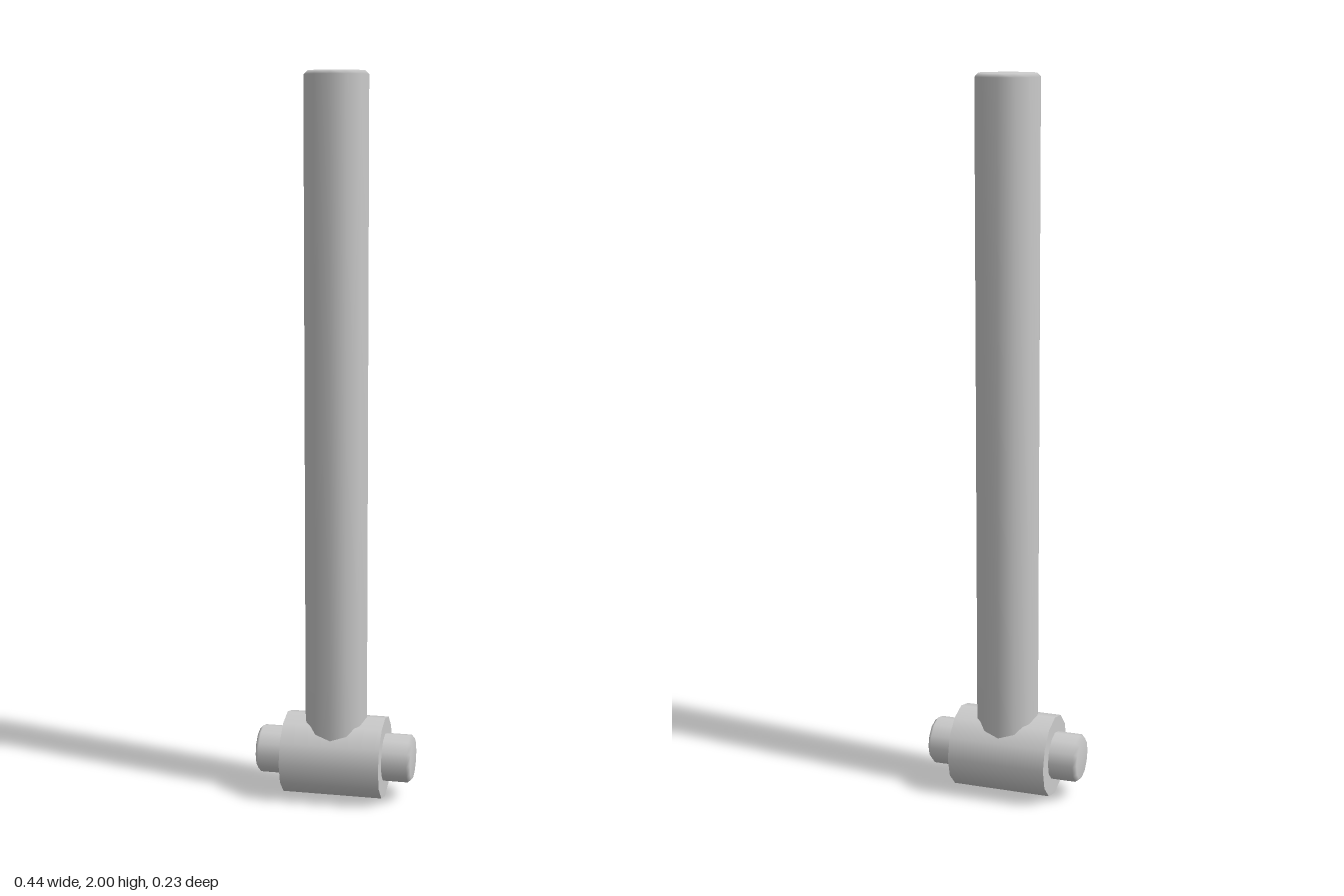
import * as THREE from 'three';

const SIDES = 12;
const AXLE_Y = 0.115;
const grey = new THREE.MeshStandardMaterial({ color: 0xcccccc });

// Solid rod along y with a small smooth bevel at the chosen ends
function rod(radius, bottom, top, bevel, bevelBottom) {
  const points = [new THREE.Vector2(0, bottom)];
  if (bevelBottom) points.push(new THREE.Vector2(radius - bevel, bottom), new THREE.Vector2(radius, bottom + bevel));
  else points.push(new THREE.Vector2(radius, bottom));
  points.push(
    new THREE.Vector2(radius, top - bevel),
    new THREE.Vector2(radius - bevel, top),
    new THREE.Vector2(0, top)
  );
  return new THREE.LatheGeometry(points, SIDES);
}

function addPart(group, name, geometry) {
  const mesh = new THREE.Mesh(geometry, grey);
  mesh.name = name;
  group.add(mesh);
  return mesh;
}

export function createModel() {
  const group = new THREE.Group();
  group.name = 'pivotRod';

  // Tall shaft, its foot sunk into the sleeve
  addPart(group, 'shaft', rod(0.088, 0.12, 2, 0.01, false));

  // Wide sleeve lying across the foot, with sharp rims
  const sleeve = addPart(group, 'sleeve', new THREE.CylinderGeometry(0.115, 0.115, 0.28, SIDES));
  sleeve.rotation.z = Math.PI / 2;
  sleeve.position.y = AXLE_Y;

  // Pin running through the sleeve and out at both ends
  const pin = addPart(group, 'pin', rod(0.067, -0.22, 0.22, 0.01, true));
  pin.rotation.z = Math.PI / 2;
  pin.position.y = AXLE_Y + 0.002;

  return group;
}
